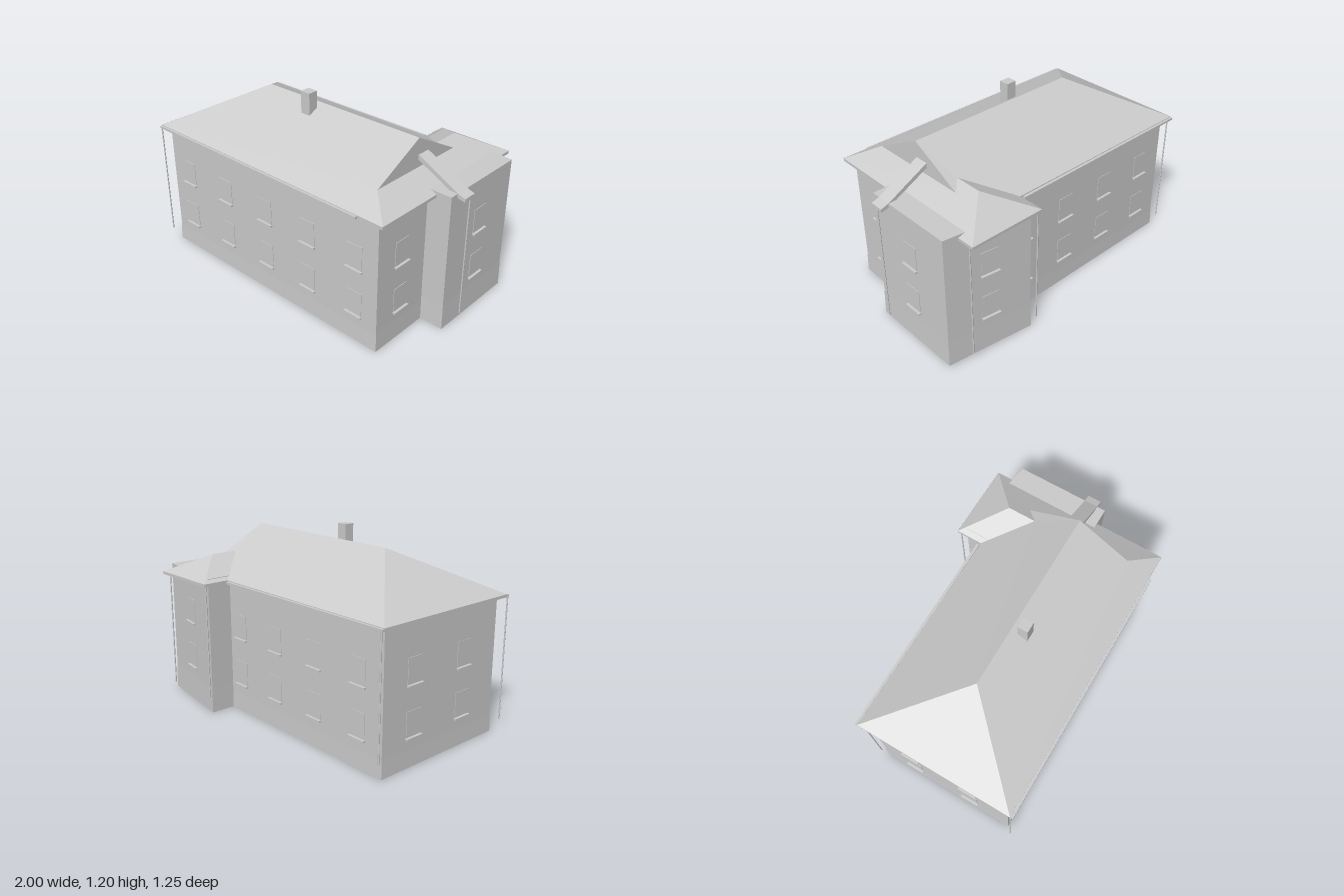
import * as THREE from 'three';

const mat = new THREE.MeshStandardMaterial({ color: 0xcccccc, side: THREE.DoubleSide, flatShading: true });

function add(parent, name, geometry, x = 0, y = 0, z = 0) {
  const m = new THREE.Mesh(geometry, mat);
  m.name = name;
  m.position.set(x, y, z);
  parent.add(m);
  return m;
}

// Flat polygons, each fanned from its first corner
function faces(polys) {
  const pos = [];
  for (const p of polys)
    for (let i = 1; i < p.length - 1; i++) pos.push(...p[0], ...p[i], ...p[i + 1]);
  const g = new THREE.BufferGeometry();
  g.setAttribute('position', new THREE.Float32BufferAttribute(pos, 3));
  g.computeVertexNormals();
  return g;
}

// Push a plan outline outwards by d with mitred corners
function offset(outline, d) {
  const n = outline.length;
  const normal = i => {
    const a = outline[i % n], b = outline[(i + 1) % n];
    return new THREE.Vector2(a[1] - b[1], b[0] - a[0]).normalize();
  };
  return outline.map(([x, z], i) => {
    const p = normal(i + n - 1), q = normal(i), k = d / (1 + p.dot(q));
    return [x + (p.x + q.x) * k, z + (p.y + q.y) * k];
  });
}

// Upright band between a lower and an upper outline; top(i) is the height of edge i
function band(low, high, y0, top) {
  return faces(low.map((a, i) => {
    const j = (i + 1) % low.length, y1 = top(i);
    return [[a[0], y0, a[1]], [low[j][0], y0, low[j][1]],
      [high[j][0], y1, high[j][1]], [high[i][0], y1, high[i][1]]];
  }));
}

export function createModel() {
  const model = new THREE.Group();
  const house = new THREE.Group();
  house.name = 'house';
  house.rotation.y = 0.035;
  model.add(house);

  // Walls: main block with a rear wing and a side projection, open below
  const plan = [[-0.95, 0.54], [0.787, 0.54], [0.787, 0.13], [0.94, 0.13],
    [0.94, -0.47], [0.39, -0.55], [0.39, -0.39], [-0.95, -0.39]];
  add(house, 'walls', band(plan, plan, 0, () => 0.875));
  const plinthTop = [0.11, 0.125, 0.165, 0.165, 0.165, 0.165, 0.11, 0.11];
  add(house, 'plinth', band(offset(plan, 0.005), offset(plan, 0.002), 0, i => plinthTop[i]));
  add(house, 'sideFlatRoof', faces([[[0.787, 0.875, 0.13], [0.94, 0.875, 0.13],
    [0.94, 0.875, -0.47], [0.787, 0.875, -0.492]]]));

  // Roof corners
  const eave = [[-0.99, 0.58], [0.841, 0.58], [0.846, -0.595], [0.356, -0.598], [0.356, -0.43], [-0.99, -0.435]];
  const [fl, fr, wr, wl, valley, bl] = eave.map(([x, z]) => [x, 0.855, z]);
  const ridgeL = [-0.493, 1.12, 0.075], ridgeR = [0.671, 1.12, 0.075];
  const gableF = [0.671, 0.94, 0.42], gableB = [0.671, 0.94, -0.26];
  const wingIn = [0.602, 0.975, -0.189], wingOut = [0.602, 0.975, -0.369];
  add(house, 'mainRoof', faces([
    [fl, fr, gableF, ridgeR, ridgeL],
    [bl, fl, ridgeL],
    [wingIn, valley, bl, ridgeL, ridgeR, gableB],
  ]));
  add(house, 'gable', faces([[gableF, gableB, ridgeR]]));
  add(house, 'wingRoof', faces([
    [wl, valley, wingIn, wingOut],
    [wr, wl, wingOut],
    [gableB, gableF, fr, wr, wingOut, wingIn],
  ]));
  add(house, 'fascia', band(eave, eave, 0.838, () => 0.856));

  // Gutters along the two long eaves
  add(house, 'frontGutter', new THREE.BoxGeometry(1.66, 0.014, 0.018), -0.16, 0.845, 0.587);
  add(house, 'backGutter', new THREE.BoxGeometry(1.33, 0.014, 0.018), -0.325, 0.845, -0.442);

  // Chimney
  add(house, 'chimney', new THREE.BoxGeometry(0.068, 0.165, 0.065), -0.09, 1.122, 0.147);

  // Sloping strip from the gable out over the side projection
  const strip = new THREE.Shape([[0.665, 1.02], [0.94, 0.876], [0.99, 0.86], [0.99, 0.838], [0.94, 0.85], [0.665, 0.99]]
    .map(p => new THREE.Vector2(...p)));
  add(house, 'roofStrip', new THREE.ExtrudeGeometry(strip, { depth: 0.088, bevelEnabled: false }), 0, 0, -0.014);

  // Downpipes
  const pipes = [[-0.992, 0.582], [-0.965, -0.43], [0.37, -0.582], [0.83, -0.552], [0.988, 0.026]];
  for (const [x, z] of pipes)
    add(house, 'downpipe', new THREE.CylinderGeometry(0.0045, 0.0045, 0.76, 8), x, 0.46, z);

  // Windows: pane and sill on each storey of each bay
  // [x, z, turn, height shift]
  const bays = [
    ...[-0.795, -0.44, -0.085, 0.265, 0.62].map(x => [x, 0.54, 0, 0]),
    ...[0.285, -0.06, -0.41, -0.765].map(x => [x, -0.39, Math.PI, 0]),
    ...[0.26, -0.15].map(z => [-0.95, z, -Math.PI / 2, 0]),
    [0.787, 0.338, Math.PI / 2, 0.01],
    [0.94, -0.172, Math.PI / 2, 0.052],
    [0.66, -0.511, Math.atan2(0.08, -0.55), 0.055],
  ];
  for (const [x, z, turn, lift] of bays)
    for (const y of [0.175, 0.48]) {
      const w = new THREE.Group();
      w.name = 'window';
      w.position.set(x, y + lift, z);
      w.rotation.y = turn;
      add(w, 'pane', new THREE.BoxGeometry(0.113, 0.152, 0.006), 0, 0.083, 0);
      add(w, 'sill', new THREE.BoxGeometry(0.122, 0.011, 0.026), 0, 0, 0.005);
      house.add(w);
    }

  return model;
}
